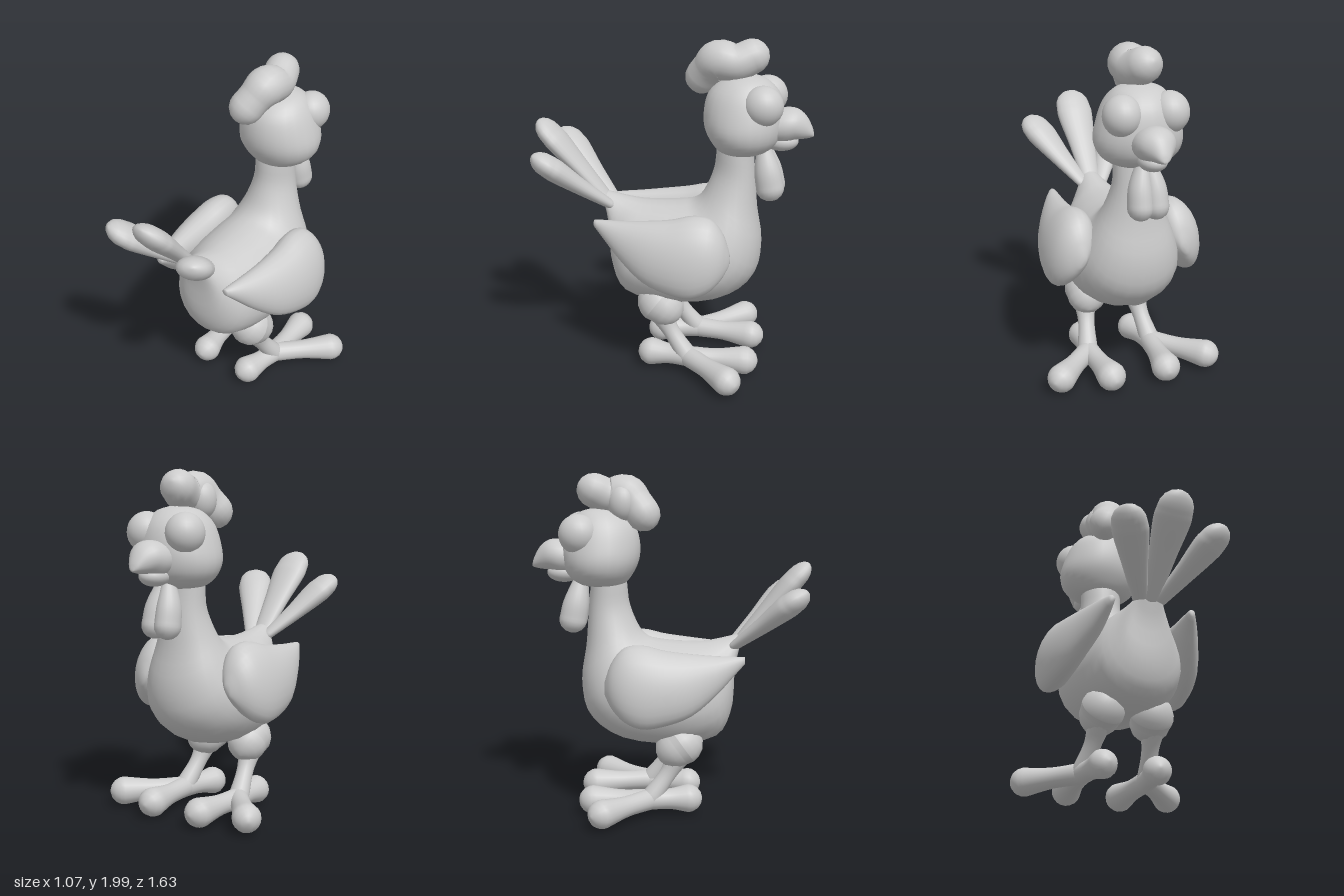
import * as THREE from 'three';

const V = (x, y, z) => new THREE.Vector3(x, y, z);
const material = new THREE.MeshStandardMaterial({ color: 0xcccccc });
const SIDES = 20;

// Closed smooth surface through a series of rings, with a pole at each end
function skin(name, rings) {
  const n = rings[0].length, pos = [], idx = [];
  const mid = (ring) => ring.reduce((s, p) => s.add(p), V(0, 0, 0)).divideScalar(n);
  rings.forEach((ring) => ring.forEach((p) => pos.push(p.x, p.y, p.z)));
  const first = rings.length * n, last = first + 1, end = (rings.length - 1) * n;
  [rings[0], rings[rings.length - 1]].map((r) => mid(r)).forEach((p) => pos.push(p.x, p.y, p.z));
  for (let j = 0; j < n; j++) {
    const k = (j + 1) % n;
    idx.push(first, k, j, last, end + j, end + k);
    for (let i = 0; i < end; i += n) idx.push(i + j, i + k, i + n + j, i + k, i + n + k, i + n + j);
  }
  // Turn the faces outward if the enclosed volume is negative
  const at = (i) => V(pos[3 * i], pos[3 * i + 1], pos[3 * i + 2]);
  let volume = 0;
  for (let i = 0; i < idx.length; i += 3) volume += at(idx[i]).dot(at(idx[i + 1]).cross(at(idx[i + 2])));
  if (volume < 0) idx.reverse();
  const g = new THREE.BufferGeometry();
  g.setAttribute('position', new THREE.Float32BufferAttribute(pos, 3));
  g.setIndex(idx);
  g.computeVertexNormals();
  const mesh = new THREE.Mesh(g, material);
  mesh.name = name;
  return mesh;
}

// Rounded limb along points [x, y, z, radius]; flat scales its thickness
function limb(name, points, flat = 1, ref = V(0, 1, 0)) {
  const path = new THREE.CatmullRomCurve3(points.map((p) => V(p[0], p[1], p[2])));
  const size = new THREE.CatmullRomCurve3(points.map((p, i) => V(p[3], i, 0)));
  const steps = points.length * 4, stations = [];
  const add = (t, shift, scale) => {
    const dir = path.getTangent(t), r = size.getPoint(t).x;
    stations.push({ c: path.getPoint(t).addScaledVector(dir, shift * r), dir, r: r * scale });
  };
  const cap = [0.3, 0.7, 1.1, 1.45];
  [...cap].reverse().forEach((a) => add(0, -Math.sin(a), Math.cos(a)));
  for (let i = 0; i <= steps; i++) add(i / steps, 0, 1);
  cap.forEach((a) => add(1, Math.sin(a), Math.cos(a)));
  return skin(name, stations.map(({ c, dir, r }) => {
    const u = dir.clone().cross(ref).normalize(), v = u.clone().cross(dir);
    return Array.from({ length: SIDES }, (_, j) => {
      const a = (j / SIDES) * Math.PI * 2;
      return c.clone().addScaledVector(u, r * Math.cos(a)).addScaledVector(v, r * flat * Math.sin(a));
    });
  }));
}

// Rings between two edges; each section is [edge point, opposite edge point,
// half thickness], smoothed along its length
function loft(name, sections, across, narrowTop = 0) {
  const curve = (f) => new THREE.CatmullRomCurve3(sections.map(f));
  const top = curve((s) => s[0]), low = curve((s) => s[1]), wide = curve((s, i) => V(s[2], i * 0.1, 0));
  const steps = sections.length * 3;
  return skin(name, Array.from({ length: steps + 1 }, (_, i) => {
    const t = i / steps, a = top.getPoint(t), b = low.getPoint(t), w = wide.getPoint(t).x;
    return Array.from({ length: 24 }, (_, j) => {
      const q = (j / 24) * Math.PI * 2, c = Math.cos(q);
      return b.clone().lerp(a, 0.5 + 0.5 * c).addScaledVector(across, w * Math.sin(q) * (1 - narrowTop * c));
    });
  }));
}

function ball(name, [x, y, z], [rx, ry, rz]) {
  const mesh = new THREE.Mesh(new THREE.SphereGeometry(1, 24, 16), material);
  mesh.position.set(x, y, z);
  mesh.scale.set(rx, ry, rz);
  mesh.name = name;
  return mesh;
}

export function createModel() {
  const model = new THREE.Group();
  model.name = 'bird';

  // Body and neck: [top z, top y, bottom z, bottom y, half width]
  const body = [
    [0.41, 1.06, 0.4, 1.0, 0.05], [0.36, 1.05, 0.37, 0.85, 0.095], [0.27, 1.03, 0.35, 0.6, 0.17],
    [0.18, 1.015, 0.27, 0.45, 0.255], [0.05, 1.015, 0, 0.4, 0.31], [-0.06, 1.025, -0.33, 0.45, 0.315],
    [-0.13, 1.04, -0.5, 0.59, 0.28], [-0.18, 1.08, -0.54, 0.78, 0.23], [-0.22, 1.15, -0.51, 1.0, 0.17],
    [-0.255, 1.25, -0.495, 1.2, 0.13], [-0.27, 1.38, -0.48, 1.38, 0.125], [-0.3, 1.5, -0.48, 1.5, 0.12],
  ].map(([tz, ty, bz, by, w]) => [V(0, ty, tz), V(0, by, bz), w]);
  model.add(loft('body', body, V(1, 0, 0), 0.1));

  // Head, wider towards the cheeks: [y, back z, front z, half width]
  const head = [
    [1.8, -0.4, -0.46, 0.04], [1.77, -0.3, -0.55, 0.13], [1.7, -0.22, -0.62, 0.19], [1.6, -0.19, -0.65, 0.23],
    [1.5, -0.195, -0.65, 0.25], [1.42, -0.23, -0.62, 0.225], [1.36, -0.28, -0.55, 0.15], [1.34, -0.36, -0.47, 0.04],
  ].map(([y, b, f, w]) => [V(0, y, b), V(0, y, f), w]);
  model.add(loft('head', head, V(1, 0, 0)));

  // Beak
  const beak = [
    [-0.58, 1.6, 1.42, 0.11], [-0.66, 1.62, 1.42, 0.115], [-0.72, 1.615, 1.44, 0.1],
    [-0.77, 1.58, 1.445, 0.065], [-0.81, 1.51, 1.455, 0.03], [-0.82, 1.475, 1.46, 0.01],
  ].map(([z, t, b, w]) => [V(0, t, z), V(0, b, z), w]);
  model.add(loft('upperBeak', beak, V(1, 0, 0)));
  model.add(ball('lowerBeak', [0, 1.425, -0.635], [0.08, 0.058, 0.1]));

  // Comb: a floppy ridge with side lobes
  model.add(limb('comb', [
    [-0.02, 1.9, -0.455, 0.1], [0.005, 1.865, -0.37, 0.105], [0, 1.875, -0.27, 0.115],
    [-0.03, 1.82, -0.21, 0.1], [-0.06, 1.765, -0.17, 0.1],
  ], 1, V(1, 0, 0)));
  model.add(ball('combLobe', [-0.055, 1.83, -0.29], [0.085, 0.11, 0.085]));

  // Middle tail feather
  model.add(limb('middleTailFeather', [
    [0, 1.0, 0.38, 0.055], [0, 1.2, 0.555, 0.085], [0, 1.34, 0.68, 0.112], [0, 1.395, 0.73, 0.108],
  ], 0.55));

  // Wing sections: [z, top y, bottom y, half thickness, centre x]
  const wing = [
    [0.41, 0.96, 0.92, 0.02, 0.245], [0.34, 0.965, 0.85, 0.045, 0.265], [0.25, 0.97, 0.76, 0.07, 0.29],
    [0.1, 0.985, 0.645, 0.1, 0.325], [-0.05, 1.005, 0.595, 0.12, 0.34], [-0.18, 1.035, 0.58, 0.125, 0.34],
    [-0.28, 1.02, 0.62, 0.11, 0.335], [-0.35, 0.94, 0.69, 0.075, 0.325], [-0.39, 0.83, 0.76, 0.02, 0.31],
  ];

  for (const s of [1, -1]) {
    const side = new THREE.Group();
    side.name = s > 0 ? 'leftSide' : 'rightSide';
    const mirror = (points) => points.map(([x, ...rest]) => [x * s, ...rest]);

    side.add(ball('eye', [0.135 * s, 1.655, -0.54], [0.108, 0.115, 0.115]));
    side.add(limb('wattle', mirror([
      [0.02, 1.37, -0.54, 0.04], [0.04, 1.25, -0.565, 0.066], [0.045, 1.145, -0.585, 0.072],
    ]), 1.12, V(0, 0, 1)));

    side.add(loft('wing', wing.map(([z, t, b, w, x]) => {
      const lean = (t - b) * 0.16;
      return [V((x - lean) * s, t, z), V((x + lean) * s, b, z), w];
    }), V(0.95 * s, 0.3, 0), -0.12));

    side.add(limb('sideTailFeather', mirror([
      [0.06, 1.0, 0.37, 0.045], [0.155, 1.13, 0.52, 0.075], [0.23, 1.24, 0.64, 0.103], [0.258, 1.28, 0.685, 0.1],
    ]), 0.65));

    // Leg: thigh, shank and three knobbed toes
    side.add(limb('thigh', mirror([[0.15, 0.425, 0.05, 0.128], [0.155, 0.4, 0.015, 0.118]]), 1, V(1, 0, 0)));
    side.add(limb('shank', mirror([
      [0.16, 0.38, 0.045, 0.08], [0.175, 0.25, -0.03, 0.05], [0.2, 0.11, -0.13, 0.06],
    ]), 1, V(1, 0, 0)));
    const ankle = [0.2, 0.1, -0.14, 0.062];
    const toes = {
      outerToe: [0.45, 0.095, -0.405, 0.083],
      innerToe: [0.17, 0.09, -0.47, 0.085],
      backToe: [0.163, 0.095, 0.09, 0.083],
    };
    for (const [name, end] of Object.entries(toes)) {
      const mid = ankle.map((v, i) => v + (end[i] - v) * 0.5);
      mid[3] = 0.06;
      side.add(limb(name, mirror([ankle, mid, end])));
    }
    model.add(side);
  }
  return model;
}
